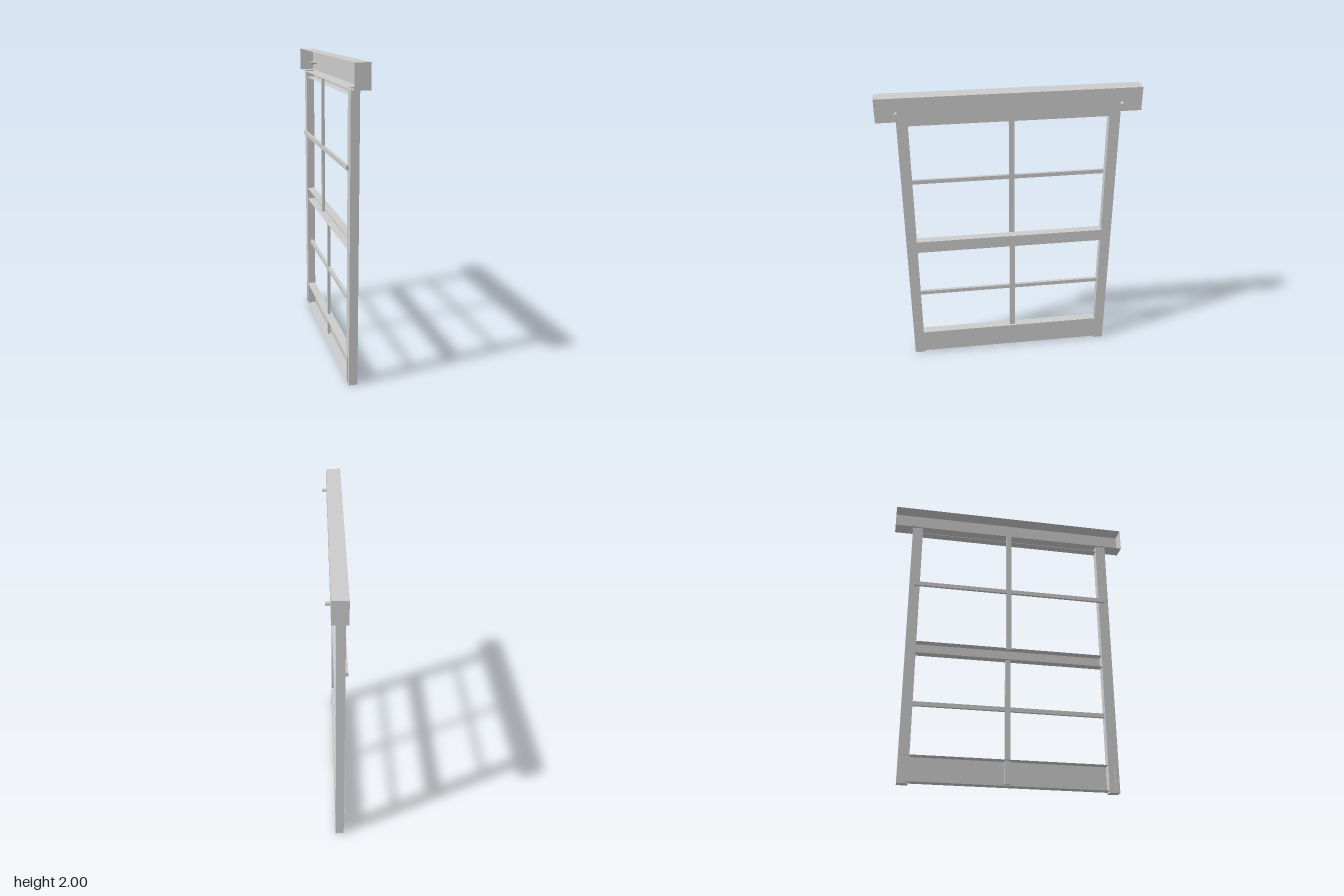
import * as THREE from 'three';

const material = new THREE.MeshStandardMaterial({ color: 0xcccccc, flatShading: true, side: THREE.DoubleSide });

// Box given by its limits on each axis; openBack leaves out the -x face
function block(name, [x0, x1], [y0, y1], [z0, z1], openBack = false) {
  const g = new THREE.BoxGeometry(x1 - x0, y1 - y0, z1 - z0);
  if (openBack) {
    const index = Array.from(g.index.array).filter((_, i) => i < 6 || i >= 12);
    g.clearGroups();
    g.setIndex(index);
  }
  g.translate((x0 + x1) / 2, (y0 + y1) / 2, (z0 + z1) / 2);
  const mesh = new THREE.Mesh(g, material);
  mesh.name = name;
  return mesh;
}

export function createModel() {
  const model = new THREE.Group();
  model.name = 'slidingWindowFrame';
  const depth = [-0.05, 0.005];

  // Header casing, open at the back
  model.add(block('header', [-0.062, 0.035], [1.847, 2], [-0.835, 0.835], true));

  // Stiles and header pegs, mirrored
  for (const s of [-1, 1]) {
    const z = s > 0 ? [0.64, 0.71] : [-0.71, -0.64];
    model.add(block('stile', depth, [0, 1.855], z));

    const peg = new THREE.Mesh(new THREE.CylinderGeometry(0.011, 0.011, 0.07, 16), material);
    peg.name = 'peg';
    peg.rotation.z = Math.PI / 2;
    peg.position.set(0.03, 1.902, s * 0.705);
    model.add(peg);
  }

  // Rails, channels open at the back
  model.add(block('topRail', depth, [1.805, 1.845], [-0.64, 0.64], true));
  model.add(block('middleRail', depth, [0.875, 0.958], [-0.64, 0.64], true));
  model.add(block('bottomRail', [-0.055, 0.004], [0.012, 0.18], [-0.68, 0.68], true));

  // Glazing bars: the upper set lies behind the frame, the lower set inside it
  const upper = [-0.068, -0.05];
  const lower = [-0.03, -0.01];
  model.add(block('upperVerticalBar', upper, [0.94, 1.845], [-0.036, 0]));
  model.add(block('upperHorizontalBar', upper, [1.372, 1.4], [-0.675, 0.68]));
  model.add(block('lowerVerticalBar', lower, [0.03, 0.877], [-0.036, 0]));
  model.add(block('lowerHorizontalBar', lower, [0.512, 0.54], [-0.64, 0.64]));

  return model;
}
